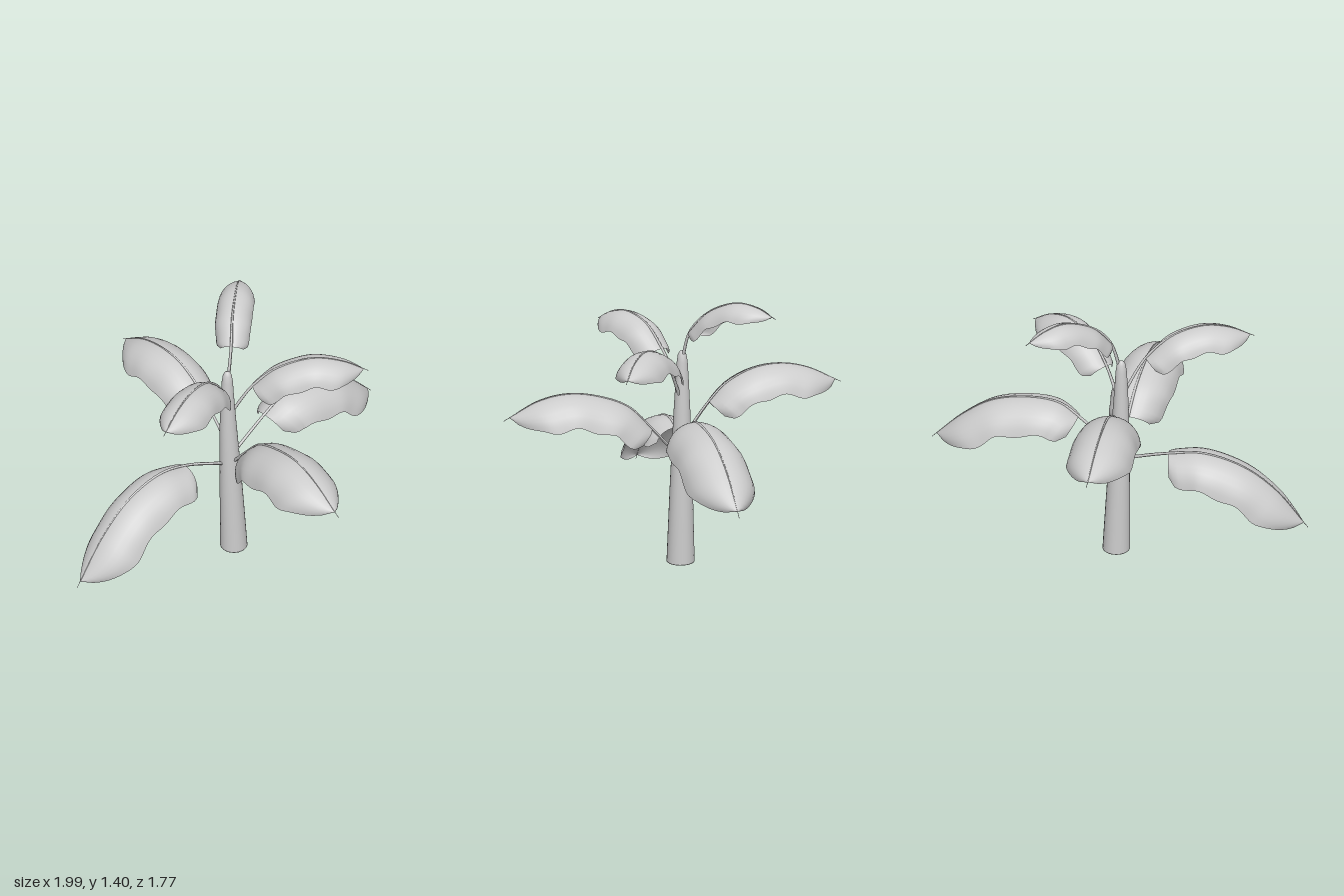
import * as THREE from 'three';

// Each leaf: name, half width, roll, then points: trunk joint, leaf base, ... tip
const LEAVES = [
  ['rightLowLeaf', 0.16, 0.08, [[-0.03, 0.56, -0.02], [-0.28, 0.64, -0.045], [-0.45, 0.662, -0.035], [-0.65, 0.605, -0.01], [-0.82, 0.48, 0.02], [-1, 0.26, 0.05]]],
  ['leftLowLeaf', 0.165, 0, [[-0.01, 0.6, -0.02], [0.2, 0.77, -0.02], [0.3, 0.835, -0.02], [0.45, 0.853, -0.03], [0.65, 0.82, -0.05], [0.82, 0.72, -0.07], [0.99, 0.57, -0.085]]],
  ['frontLeaf', 0.165, 0, [[-0.015, 0.56, -0.01], [-0.02, 0.72, 0.13], [-0.03, 0.84, 0.25], [-0.035, 0.9, 0.4], [-0.035, 0.92, 0.55], [-0.04, 0.89, 0.7], [-0.04, 0.795, 0.88]]],
  ['backLeaf', 0.155, 0, [[-0.02, 0.66, -0.03], [-0.045, 0.84, -0.17], [-0.055, 0.93, -0.26], [-0.065, 1.0, -0.4], [-0.08, 1.018, -0.55], [-0.09, 0.99, -0.7], [-0.1, 0.9, -0.89]]],
  ['leftUpperLeaf', 0.118, 0, [[-0.02, 0.86, -0.02], [0.07, 1.04, 0.05], [0.16, 1.14, 0.115], [0.31, 1.2, 0.215], [0.44, 1.175, 0.295], [0.56, 1.105, 0.355]]],
  ['rightUpperLeaf', 0.115, 0, [[-0.03, 0.92, -0.02], [-0.13, 1.11, 0.055], [-0.25, 1.22, 0.115], [-0.39, 1.26, 0.19], [-0.51, 1.24, 0.25], [-0.63, 1.18, 0.31]]],
  ['topLeaf', 0.092, 0, [[-0.025, 1.06, -0.025], [0.02, 1.23, -0.06], [0.085, 1.335, -0.14], [0.19, 1.395, -0.255], [0.265, 1.382, -0.34], [0.335, 1.335, -0.415]]],
];
const toVectors = (points) => points.map((p) => new THREE.Vector3(...p));

// Blade width along its length: blunt rounded base, parallel sides, pointed tip
function bladeWidth(t) {
  if (t < 0.08) return 0.6 + 0.3 * Math.sqrt(1 - (1 - t / 0.08) ** 2);
  if (t < 0.35) return 0.9 + 0.1 * Math.sin((t - 0.08) / 0.27 * Math.PI / 2);
  if (t < 0.72) return 1;
  return Math.pow(Math.max(0, 1 - ((t - 0.72) / 0.28) ** 2), 0.75);
}

// Arched blade swept along the rib
function bladeGeometry(points, halfWidth, roll) {
  const rib = new THREE.CatmullRomCurve3(points.slice(1));
  const dir = points.at(-1).clone().sub(points[1]).setY(0).normalize();
  const side = new THREE.Vector3(-dir.z, 0, dir.x);
  const rows = 36, cols = 14, arch = 1.4;
  const pos = [], index = [];
  for (let i = 0; i <= rows; i++) {
    const t = i / rows;
    const centre = rib.getPointAt(t * 0.96);
    const tangent = rib.getTangentAt(t * 0.96);
    const up = side.clone().cross(tangent).normalize();
    const w = halfWidth * bladeWidth(t);
    const across = side.clone().applyAxisAngle(tangent, roll);
    up.applyAxisAngle(tangent, roll);
    for (let j = 0; j <= cols; j++) {
      const a = (j / cols * 2 - 1) * arch;
      const ripple = 1 + 0.06 * Math.sin(t * 20) * Math.abs(a / arch);
      const p = centre.clone()
        .addScaledVector(across, w * Math.sin(a) / Math.sin(arch))
        .addScaledVector(up, -w * 1.05 * (1 - Math.cos(a)) * ripple);
      pos.push(p.x, p.y, p.z);
      if (i < rows && j < cols) {
        const k = i * (cols + 1) + j, n = k + cols + 1;
        index.push(k, k + 1, n, k + 1, n + 1, n);
      }
    }
  }
  const geo = new THREE.BufferGeometry();
  geo.setAttribute('position', new THREE.Float32BufferAttribute(pos, 3));
  geo.setIndex(index);
  geo.computeVertexNormals();
  return geo;
}

// Round tube whose radius follows a function of its length
function taperedTube(curve, segments, sides, radiusAt) {
  const geo = new THREE.TubeGeometry(curve, segments, 1, sides);
  const pos = geo.attributes.position;
  const v = new THREE.Vector3();
  for (let i = 0; i <= segments; i++) {
    const c = curve.getPointAt(i / segments);
    for (let j = 0; j <= sides; j++) {
      const k = i * (sides + 1) + j;
      v.fromBufferAttribute(pos, k).sub(c).multiplyScalar(radiusAt(i / segments)).add(c);
      pos.setXYZ(k, v.x, v.y, v.z);
    }
  }
  geo.computeVertexNormals();
  return geo;
}

export function createModel() {
  const model = new THREE.Group();
  model.name = 'plant';
  const mat = new THREE.MeshStandardMaterial({ color: 0xcccccc });
  const leafMat = new THREE.MeshStandardMaterial({ color: 0xcccccc, side: THREE.DoubleSide });
  const add = (parent, name, geo, material) => {
    const mesh = new THREE.Mesh(geo, material);
    mesh.name = name;
    parent.add(mesh);
    return mesh;
  };

  // Trunk: tapered lathe with a rounded top, leaning slightly as it rises
  const profile = [[0, 0], [0.074, 0], [0.0735, 0.003], [0.067, 0.2], [0.06, 0.4], [0.052, 0.6], [0.043, 0.8],
    [0.033, 0.98], [0.028, 1.06], [0.022, 1.1], [0.012, 1.117], [0, 1.122]];
  const trunk = new THREE.LatheGeometry(profile.map(([r, y]) => new THREE.Vector2(r, y)), 24);
  const p = trunk.attributes.position;
  for (let i = 0; i < p.count; i++) {
    const lean = Math.min(1, p.getY(i) / 0.9);
    p.setX(i, p.getX(i) + 0.003 - 0.03 * lean);
    p.setZ(i, p.getZ(i) - 0.014 - 0.014 * lean);
  }
  add(model, 'trunk', trunk, mat);

  // Leaves: arched blade plus a thin stalk running on as the midrib
  for (const [name, halfWidth, roll, list] of LEAVES) {
    const leaf = new THREE.Group();
    leaf.name = name;
    const points = toVectors(list);
    add(leaf, 'blade', bladeGeometry(points, halfWidth, roll), leafMat);
    const stalk = new THREE.CatmullRomCurve3(points);
    add(leaf, 'stalk', taperedTube(stalk, 40, 6, (t) => 0.009 - 0.0075 * t), mat);
    model.add(leaf);
  }
  return model;
}
